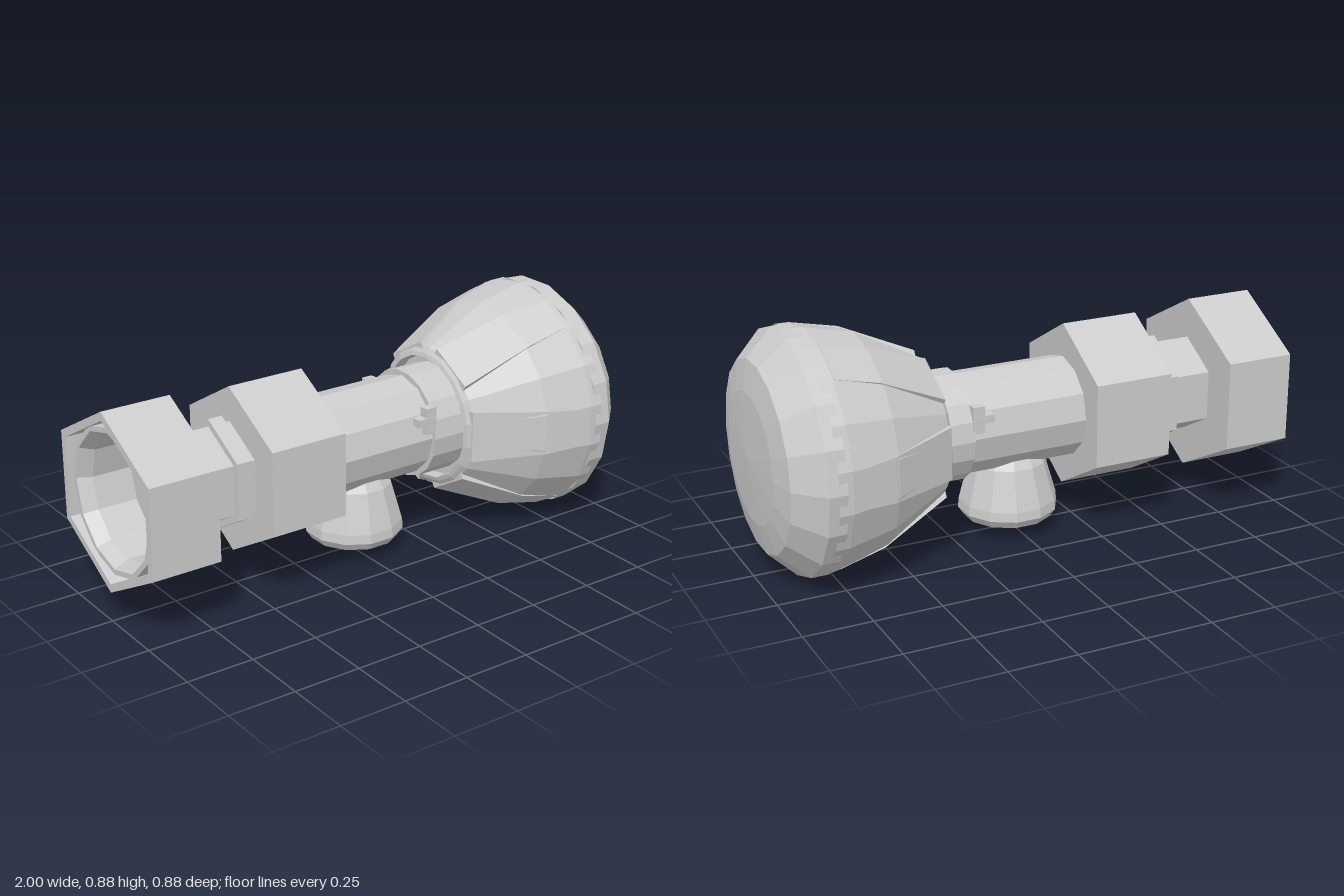
import * as THREE from 'three';

const AXIS_Y = 0.438;
const mat = new THREE.MeshStandardMaterial({ color: 0xcccccc, flatShading: true, side: THREE.DoubleSide });

function add(parent, name, geometry) {
  const mesh = new THREE.Mesh(geometry, mat);
  mesh.name = name;
  parent.add(mesh);
  return mesh;
}

// Revolve [radius, position] points around the long x axis
function turned(parent, name, points, sides, startDeg = 0) {
  const g = new THREE.LatheGeometry(points.map(p => new THREE.Vector2(...p)), sides, THREE.MathUtils.degToRad(startDeg));
  g.rotateZ(-Math.PI / 2);
  return add(parent, name, g);
}

const solid = (r, x0, x1) => [[0, x0], [r, x0], [r, x1], [0, x1]];

export function createModel() {
  const model = new THREE.Group();
  model.name = 'angleValve';
  const valve = new THREE.Group();
  valve.name = 'valveAxis';
  valve.position.y = AXIS_Y;
  model.add(valve);

  // Open end nut with a round sleeve inside
  const nut = turned(valve, 'endNut',
    [[0, -0.78], [0.3, -0.78], [0.3, -1], [0.332, -1], [0.332, -0.74], [0, -0.74]], 6, 30);
  nut.scale.z = 1.05;
  turned(valve, 'nutSleeve',
    [[0.225, -0.78], [0.225, -0.93], [0.25, -0.98], [0.27, -0.98], [0.27, -0.78]], 12);

  // Hexagonal neck, flange and second nut
  turned(valve, 'neck', solid(0.183, -0.78, -0.48), 6, 30);
  turned(valve, 'neckFlange', solid(0.21, -0.595, -0.54), 6, 30);
  turned(valve, 'bodyNut', solid(0.311, -0.51, -0.21), 6, 30);

  // Round body and collar
  turned(valve, 'body', solid(0.187, -0.23, 0.27), 12);
  turned(valve, 'collar', solid(0.204, 0.235, 0.4), 18);

  // Small cross-shaped clips on both sides of the collar
  for (const s of [1, -1]) {
    const clip = new THREE.Group();
    clip.name = 'collarClip';
    clip.position.set(0.2, 0.075, s * 0.18);
    valve.add(clip);
    add(clip, 'clipBar', new THREE.BoxGeometry(0.08, 0.03, 0.04));
    add(clip, 'clipPlate', new THREE.BoxGeometry(0.045, 0.1, 0.036)).position.x = 0.018;
  }

  // Flared knob skirt with a recessed back, and its domed cap
  turned(valve, 'knobSkirt',
    [[0.2, 0.38], [0.23, 0.38], [0.235, 0.34], [0.25, 0.345], [0.27, 0.36], [0.397, 0.6], [0.44, 0.78], [0.441, 0.83]], 18, 10);
  turned(valve, 'knobCap',
    [[0.42, 0.8], [0.441, 0.8], [0.441, 0.865], [0.345, 0.965], [0.238, 0.988], [0, 1]], 18);

  // Tapered flat grip panels around the skirt: [x, distance from axis, half width]
  const stations = [[0.355, 0.266, 0.097], [0.61, 0.394, 0.083], [0.775, 0.434, 0.07]];
  for (let i = 0; i < 6; i++) {
    const g = new THREE.BoxGeometry(1, 2, 1, 2, 1, 1);
    const p = g.attributes.position;
    for (let k = 0; k < p.count; k++) {
      const [x, r, w] = stations[Math.round((p.getX(k) + 0.5) * 2)];
      p.setXYZ(k, x, p.getY(k) * w, r + (p.getZ(k) - 0.5) * 0.025);
    }
    g.computeVertexNormals();
    add(valve, 'gripPanel', g).rotation.x = i * Math.PI / 3;
  }

  // Hollow outlet below the body
  const outlet = [[0, 0.2], [0.12, 0.2], [0.148, 0.11], [0.145, 0.055], [0.165, 0.055], [0.185, 0.085], [0.182, 0.12], [0.14, 0.265], [0.115, 0.3]];
  add(model, 'outlet', new THREE.LatheGeometry(outlet.map(p => new THREE.Vector2(...p)), 12, Math.PI / 12))
    .position.x = 0.015;

  return model;
}
